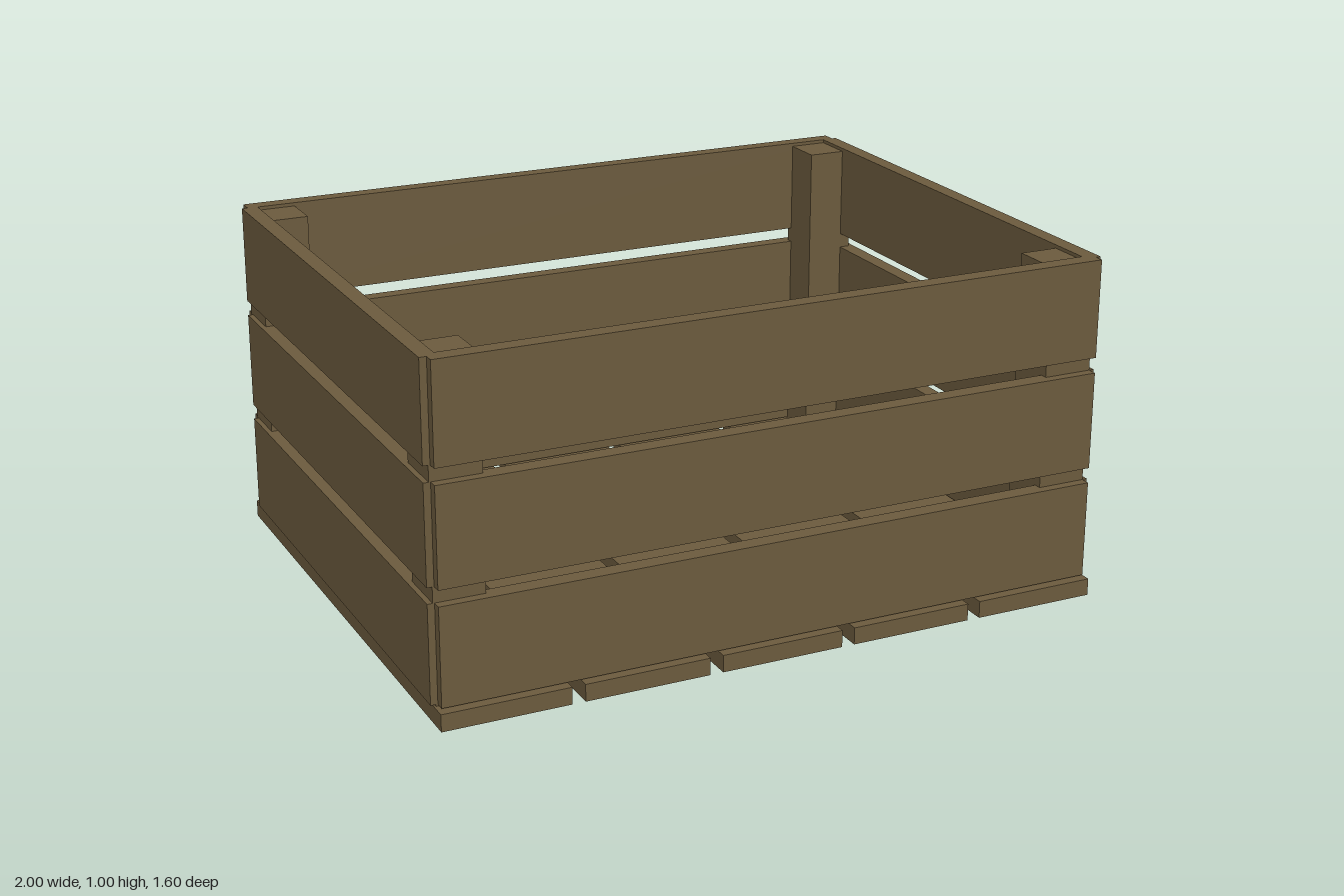
import * as THREE from 'three';

export function createModel() {
  const crate = new THREE.Group();
  crate.name = 'crate';
  const wood = new THREE.MeshStandardMaterial({ color: 0x6b5a3d, flatShading: true });

  // Box given by its minimum and maximum on each axis
  function board(name, [x0, x1], [y0, y1], [z0, z1]) {
    const mesh = new THREE.Mesh(new THREE.BoxGeometry(x1 - x0, y1 - y0, z1 - z0), wood);
    mesh.position.set((x0 + x1) / 2, (y0 + y1) / 2, (z0 + z1) / 2);
    mesh.name = name;
    crate.add(mesh);
  }

  // Floor slats, running front to back
  for (let i = -2; i <= 2; i++) {
    const x = i * 0.404;
    board('floorSlat', [x - 0.183, x + 0.183], [0, 0.05], [-0.8, 0.8]);
  }

  // Three tiers of wall boards
  for (let i = 0; i < 3; i++) {
    const y = [0.055 + i * 0.33, 0.34 + i * 0.33];
    board('frontBoard', [-0.98, 0.985], y, [0.728, 0.778]);
    board('backBoard', [-0.983, 0.987], y, [-0.788, -0.742]);
    board('leftBoard', [0.953, 1], y, [-0.745, 0.75]);
    board('rightBoard', [-1, -0.953], y, [-0.745, 0.75]);
  }

  // Corner posts, let into the wall boards
  for (const x of [[-0.985, -0.84], [0.84, 0.985]]) {
    board('frontPost', x, [0.05, 0.99], [0.6, 0.75]);
    board('backPost', x, [0.05, 0.99], [-0.762, -0.615]);
  }

  return crate;
}
